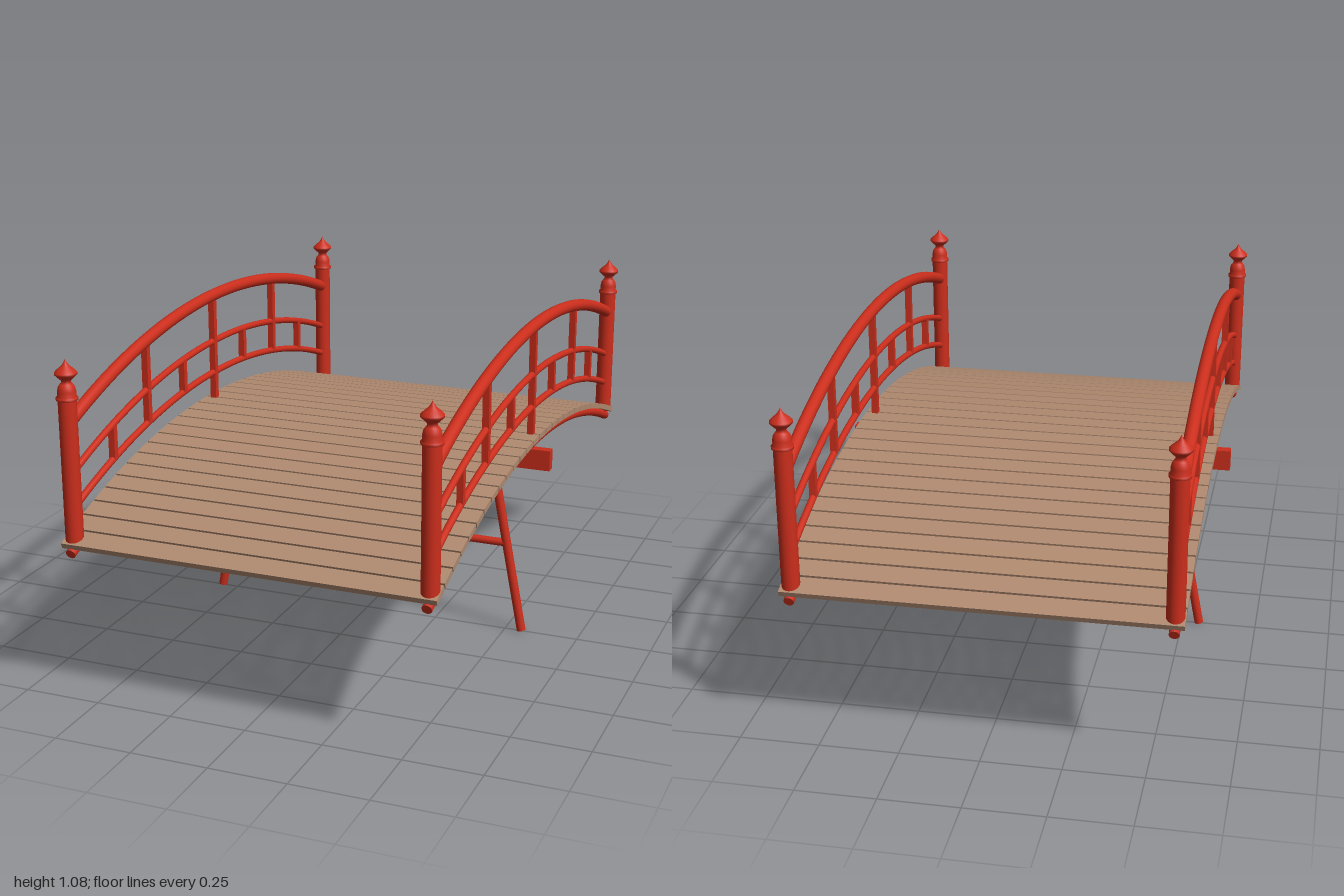
import * as THREE from 'three';

const R = 2.73;            // radius shared by the deck, beams and rails
const SIDE = 0.57;         // x of beams, rails and posts
const POST_Z = 0.965;
const arcY = (crown, z) => crown - R + Math.sqrt(R * R - z * z);

export function createModel() {
  const model = new THREE.Group();
  const red = new THREE.MeshStandardMaterial({ color: 0xcc2e1c });
  const wood = new THREE.MeshStandardMaterial({ color: 0xb08a70 });

  const add = (name, geometry, material, x = 0, y = 0, z = 0, parent = model) => {
    const mesh = new THREE.Mesh(geometry, material);
    mesh.name = name;
    mesh.position.set(x, y, z);
    parent.add(mesh);
    return mesh;
  };

  // Round bar between two points
  const bar = (name, a, b, r) => {
    const dir = b.clone().sub(a);
    const mid = a.clone().add(b).multiplyScalar(0.5);
    const mesh = add(name, new THREE.CylinderGeometry(r, r, dir.length(), 16), red, mid.x, mid.y, mid.z);
    mesh.quaternion.setFromUnitVectors(new THREE.Vector3(0, 1, 0), dir.normalize());
  };

  // Arched tube running along z, closed at both ends
  const arch = (name, x, crown, r, halfZ) => {
    const points = [];
    for (let i = 0; i <= 24; i++) {
      const z = halfZ * (i / 12 - 1);
      points.push(new THREE.Vector3(x, arcY(crown, z), z));
    }
    const group = new THREE.Group();
    group.name = name;
    model.add(group);
    add(name + 'Tube', new THREE.TubeGeometry(new THREE.CatmullRomCurve3(points), 64, r, 14), red, 0, 0, 0, group);
    const tilt = Math.asin(halfZ / R);
    for (const s of [-1, 1]) {
      const cap = add(name + 'End', new THREE.CircleGeometry(r, 14), red, x, arcY(crown, halfZ), s * halfZ, group);
      cap.rotation.set(s > 0 ? tilt : Math.PI - tilt, 0, 0);
    }
  };

  // Deck planks, evenly spaced around the arc with narrow gaps
  const deck = new THREE.Group();
  deck.name = 'deck';
  model.add(deck);
  const count = 28;
  const maxAngle = Math.asin(0.998 / R);
  const pitch = (2 * maxAngle) / count;
  const plankGeo = new THREE.BoxGeometry(1.2, 0.018, pitch * R - 0.007);
  for (let i = 0; i < count; i++) {
    const angle = -maxAngle + (i + 0.5) * pitch;
    const z = R * Math.sin(angle);
    add('plank', plankGeo, wood, 0, arcY(0.691, z), z, deck).rotation.x = angle;
  }

  // Post with collar ring, domed head and pointed finial
  const profile = [
    [0, 0.508], [0.025, 0.508], [0.028, 0.514], [0.028, 0.956], [0.033, 0.958], [0.033, 0.966],
    [0.028, 0.968], [0.028, 0.985], [0.025, 0.998], [0.019, 1.007], [0.015, 1.01], [0.015, 1.018],
    [0.022, 1.024], [0.034, 1.036], [0.034, 1.042], [0.024, 1.052], [0.013, 1.061], [0.006, 1.07], [0, 1.082],
  ];
  // Duplicated rings keep each profile edge crisp
  const postGeo = new THREE.LatheGeometry(profile.map(([r, y]) => new THREE.Vector2(r, y)), 24);

  // Balusters: [z, crown of the arc they start on, crown of the arc they end on]
  const balusters = [[0, 0.69, 1.06]];
  for (const s of [-1, 1]) {
    balusters.push([s * 0.48, 0.79, 1.06], [s * 0.23, 0.79, 0.9], [s * 0.71, 0.79, 0.9]);
  }

  for (const s of [-1, 1]) {
    const x = s * SIDE;
    arch('deckBeam', x, 0.667, 0.016, 0.994);
    arch('lowerRail', x, 0.79, 0.011, POST_Z);
    arch('middleRail', x, 0.9, 0.011, POST_Z);
    arch('topRail', x, 1.06, 0.02, POST_Z);
    for (const z of [-POST_Z, POST_Z]) add('post', postGeo, red, x, 0, z);
    for (const [z, low, high] of balusters) {
      const y0 = arcY(low, z), y1 = arcY(high, z);
      add('baluster', new THREE.BoxGeometry(0.021, y1 - y0, 0.021), red, x, (y0 + y1) / 2, z);
    }
    // Splayed support leg
    bar('leg', new THREE.Vector3(s * 0.557, 0.003, 0), new THREE.Vector3(s * 0.44, 0.61, 0), 0.015);
  }

  // Cross beam under the crown and tie bar between the legs
  add('crossBeam', new THREE.BoxGeometry(1.28, 0.068, 0.033), red, 0, 0.618, 0);
  bar('tieBar', new THREE.Vector3(-0.495, 0.31, 0), new THREE.Vector3(0.495, 0.31, 0), 0.013);

  return model;
}
